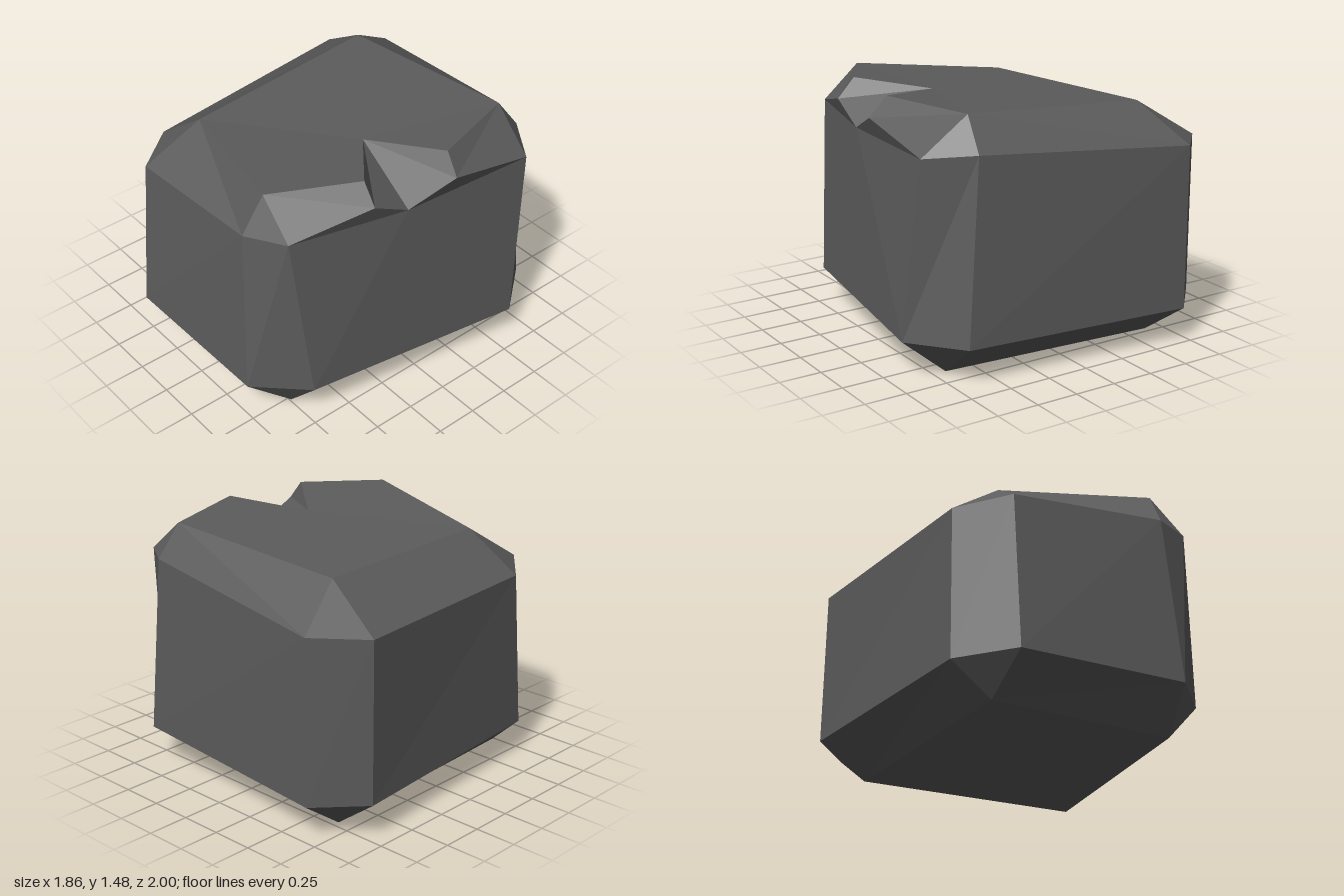
import * as THREE from 'three';

// Corner order of the cross-sections: front left-hand, front right-hand, back right-hand, back left-hand.
const foot = [[-0.58, 0, 0.74], [0.52, 0, 0.74], [0.67, 0, -0.61], [-0.65, 0, -0.71]];

// Eight-sided rings: two points per chamfered corner
const lower = [
  [-0.8, 0.2, 0.7], [-0.55, 0.2, 1], [0.46, 0.22, 1], [0.72, 0.22, 0.73],
  [0.93, 0.22, -0.59], [0.69, 0.22, -0.89], [-0.69, 0.21, -1], [-0.93, 0.21, -0.74],
];
const upper = [
  [-0.78, 1.13, 0.64], [-0.55, 1.14, 0.92], [0.39, 1.23, 0.94], [0.63, 1.25, 0.82],
  [0.86, 1.25, -0.69], [0.61, 1.27, -0.86], [-0.69, 1.17, -1], [-0.93, 1.15, -0.74],
];
const crown = [[-0.47, 1.36, 0.59], [0.41, 1.45, 0.81], [0.59, 1.46, -0.72], [-0.57, 1.38, -0.67]];

// Chipped notch in the +x edge
const tip = [0.33, 1.42, 0.06];
const floor = [0.79, 1.24, 0.13];
const frontTop = [0.68, 1.475, 0.35], frontSide = [0.78, 1.36, 0.36];
const backTop = [0.76, 1.475, -0.17], backSide = [0.86, 1.36, -0.15];

// Fans each face from its first corner, turning every triangle away from the middle
function facetGeometry(faces) {
  const centre = new THREE.Vector3(0, 0.7, 0);
  const points = [];
  for (const face of faces) {
    const v = face.map((p) => new THREE.Vector3(...p));
    for (let i = 1; i < v.length - 1; i++) {
      const [a, b, c] = [v[0], v[i], v[i + 1]];
      const normal = b.clone().sub(a).cross(c.clone().sub(a));
      const outward = normal.dot(a.clone().sub(centre)) > 0;
      points.push(...(outward ? [a, b, c] : [a, c, b]));
    }
  }
  const geometry = new THREE.BufferGeometry().setFromPoints(points);
  geometry.computeVertexNormals();
  return geometry;
}

export function createModel() {
  const group = new THREE.Group();
  group.name = 'rock';
  const stone = new THREE.MeshStandardMaterial({ color: 0x5c5c5c });
  stone.name = 'dark grey stone';

  const base = [foot], walls = [], top = [];
  for (let k = 0; k < 4; k++) {
    const n = (k + 1) % 4;
    const i = 2 * k, j = i + 1, m = (i + 2) % 8;
    // Corner chamfers
    base.push([foot[k], lower[i], lower[j]]);
    walls.push([lower[i], lower[j], upper[j], upper[i]]);
    top.push([crown[k], upper[i], upper[j]]);
    // Straight sides
    base.push([foot[k], foot[n], lower[m], lower[j]]);
    if (k !== 1) {
      walls.push([lower[j], lower[m], upper[m], upper[j]]);
      top.push([crown[k], crown[n], upper[m], upper[j]]);
    }
  }
  // Side and bevels interrupted by the notch
  walls.push([floor, backSide, upper[4], lower[4], lower[3], upper[3], frontSide]);
  top.push([crown[1], frontTop, frontSide, upper[3]], [crown[2], backTop, backSide, upper[4]]);
  // Crown, fanned from the notch tip
  top.push([tip, frontTop, crown[1], crown[0], crown[3], crown[2], backTop]);
  const notch = [[tip, frontTop, frontSide, floor], [tip, floor, backSide, backTop]];

  for (const [name, faces] of Object.entries({ base, walls, top, notch })) {
    const mesh = new THREE.Mesh(facetGeometry(faces), stone);
    mesh.name = name;
    group.add(mesh);
  }
  return group;
}
